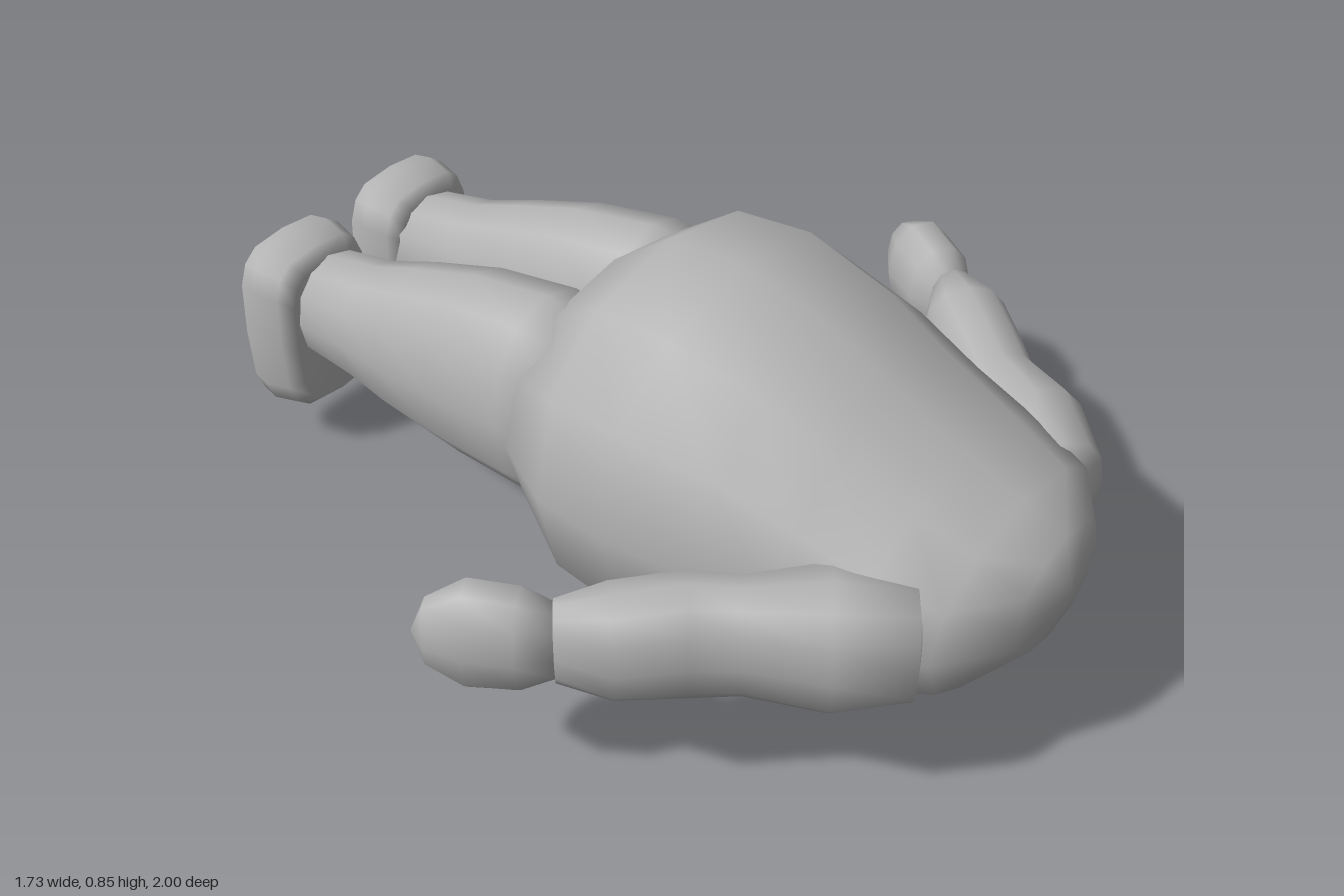
import * as THREE from 'three';

const grey = new THREE.MeshStandardMaterial({ color: 0xb4b4b4 });
grey.name = 'plain grey';

// Lofts closed rings along a level path. Section: [x, z, half width, bottom y, top y].
// power 1 gives ellipses, lower values give boxier rings. The two tips are [x, y, z].
function loft(name, sections, startTip, endTip, sides, power = 1, mirror = 1) {
  const positions = [];
  const index = [];
  const up = new THREE.Vector3(0, 1, 0);
  const bend = (v) => Math.sign(v) * Math.pow(Math.abs(v), power);
  const centres = sections.map(([x, z, , lo, hi]) => new THREE.Vector3(x * mirror, (lo + hi) / 2, z));
  const last = sections.length - 1;
  sections.forEach(([, , halfWidth, lo, hi], i) => {
    const along = centres[Math.min(i + 1, last)].clone().sub(centres[Math.max(i - 1, 0)]).setY(0).normalize();
    const side = up.clone().cross(along);
    for (let j = 0; j < sides; j++) {
      const a = (j / sides) * Math.PI * 2;
      const p = centres[i].clone()
        .addScaledVector(side, bend(Math.cos(a)) * halfWidth)
        .addScaledVector(up, bend(Math.sin(a)) * (hi - lo) / 2);
      positions.push(p.x, p.y, p.z);
    }
  });
  const start = sections.length * sides;
  const end = start + 1;
  for (const [x, y, z] of [startTip, endTip]) positions.push(x * mirror, y, z);
  for (let j = 0; j < sides; j++) {
    const k = (j + 1) % sides;
    for (let i = 0; i < last; i++) {
      const a = i * sides + j, b = i * sides + k;
      index.push(a, b, b + sides, a, b + sides, a + sides);
    }
    index.push(start, k, j, end, last * sides + j, last * sides + k);
  }
  const geometry = new THREE.BufferGeometry();
  geometry.setAttribute('position', new THREE.Float32BufferAttribute(positions, 3));
  geometry.setIndex(index);
  geometry.computeVertexNormals();
  const mesh = new THREE.Mesh(geometry, grey);
  mesh.name = name;
  return mesh;
}

export function createModel() {
  const model = new THREE.Group();
  model.name = 'lyingFigure';

  // Barrel body, from the neck end to the hips
  model.add(loft('body', [
    [0, 0.965, 0.15, 0.30, 0.555],
    [0, 0.87, 0.305, 0.20, 0.59],
    [0, 0.74, 0.35, 0.13, 0.645],
    [0, 0.57, 0.375, 0.09, 0.72],
    [0, 0.41, 0.41, 0.04, 0.80],
    [0, 0.20, 0.445, 0.005, 0.853],
    [0, 0.02, 0.432, 0.025, 0.835],
    [0, -0.13, 0.36, 0.17, 0.72],
  ], [0, 0.43, 0.995], [0, 0.44, -0.22], 12, 0.9));

  for (const [label, m] of [['left', 1], ['right', -1]]) {
    // Tapering leg
    model.add(loft(label + 'Leg', [
      [0.18, -0.02, 0.155, 0.23, 0.70],
      [0.172, -0.17, 0.172, 0.212, 0.705],
      [0.167, -0.38, 0.162, 0.207, 0.665],
      [0.165, -0.57, 0.143, 0.22, 0.60],
      [0.165, -0.70, 0.121, 0.24, 0.55],
      [0.163, -0.88, 0.112, 0.26, 0.51],
    ], [0.18, 0.46, 0], [0.163, 0.385, -0.9], 12, 0.9, m));

    // Block foot with rounded edges and a flat sole
    model.add(loft(label + 'Foot', [
      [0.175, -0.845, 0.115, 0.145, 0.51],
      [0.175, -0.875, 0.14, 0.12, 0.54],
      [0.175, -0.94, 0.155, 0.108, 0.552],
      [0.175, -0.985, 0.147, 0.115, 0.545],
      [0.175, -1, 0.132, 0.13, 0.53],
    ], [0.175, 0.33, -0.842], [0.175, 0.33, -1], 16, 0.55, m));

    // Arm from shoulder to wrist
    model.add(loft(label + 'Arm', [
      [0.27, 0.815, 0.10, 0.28, 0.53],
      [0.365, 0.69, 0.127, 0.26, 0.552],
      [0.46, 0.557, 0.093, 0.28, 0.527],
      [0.53, 0.475, 0.097, 0.28, 0.54],
      [0.63, 0.375, 0.097, 0.292, 0.527],
      [0.697, 0.297, 0.053, 0.32, 0.505],
    ], [0.26, 0.405, 0.83], [0.70, 0.412, 0.293], 12, 0.85, m));

    // Mitten hand
    model.add(loft(label + 'Hand', [
      [0.695, 0.298, 0.051, 0.325, 0.50],
      [0.73, 0.243, 0.077, 0.296, 0.527],
      [0.782, 0.155, 0.077, 0.29, 0.535],
      [0.827, 0.092, 0.047, 0.335, 0.49],
    ], [0.69, 0.412, 0.305], [0.842, 0.412, 0.066], 10, 0.9, m));
  }
  return model;
}
